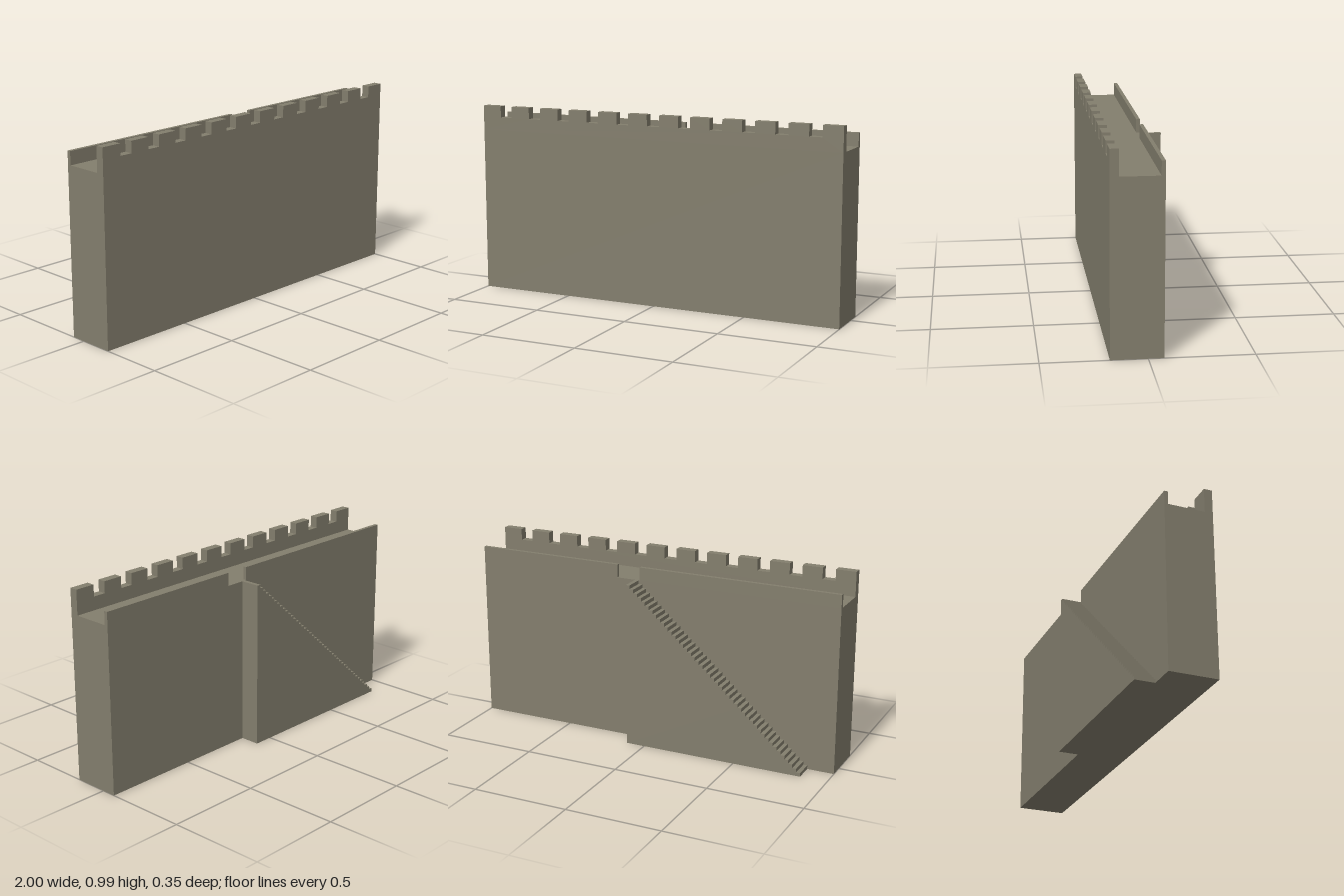
import * as THREE from 'three';

const FRONT = 0.177, BACK = -0.074, STAIR_BACK = -0.177, WALK = 0.86;

export function createModel() {
  const model = new THREE.Group();
  model.name = 'castleWall';
  const stone = new THREE.MeshStandardMaterial({ color: 0x837e6d });
  stone.name = 'stone';

  const add = (name, geometry) => {
    const mesh = new THREE.Mesh(geometry, stone);
    mesh.name = name;
    model.add(mesh);
  };

  // Extrude a side-on outline (x, y) between two depths
  const slab = (name, points, z0, z1) => {
    const shape = new THREE.Shape(points.map(([x, y]) => new THREE.Vector2(x, y)));
    const geometry = new THREE.ExtrudeGeometry(shape, { depth: z1 - z0, bevelEnabled: false });
    add(name, geometry.translate(0, 0, z0));
  };

  // Wall body with the walkway on top
  const body = new THREE.BoxGeometry(2, WALK, FRONT - BACK);
  add('wallBody', body.translate(0, WALK / 2, (FRONT + BACK) / 2));

  // Front battlement: twelve merlons above a low parapet
  const merlons = 12, width = 0.105, pitch = (2 - width) / (merlons - 1);
  const outline = [[-1, WALK], [1, WALK]];
  for (let i = merlons - 1; i >= 0; i--) {
    const x = -1 + i * pitch;
    if (i < merlons - 1) outline.push([x + width, 0.928]);
    outline.push([x + width, 0.987], [x, 0.987]);
    if (i > 0) outline.push([x, 0.928]);
  }
  slab('battlement', outline, 0.135, FRONT);

  // Rear parapets on either side of the stair landing
  for (const [name, x0, x1] of [['rightRearParapet', -1, 0.073], ['leftRearParapet', 0.2, 1]]) {
    slab(name, [[x0, WALK], [x1, WALK], [x1, 0.928], [x0, 0.928]], BACK, -0.055);
  }

  // Solid staircase climbing along the rear face
  const steps = 45, x0 = -0.86, x1 = 0.1;
  const run = (x1 - x0) / steps, rise = WALK / steps;
  const stairs = [[x0, 0], [x1, 0]];
  for (let i = steps; i > 0; i--) {
    stairs.push([x0 + i * run, i * rise], [x0 + (i - 1) * run, i * rise]);
  }
  slab('staircase', stairs, STAIR_BACK, BACK);

  return model;
}
